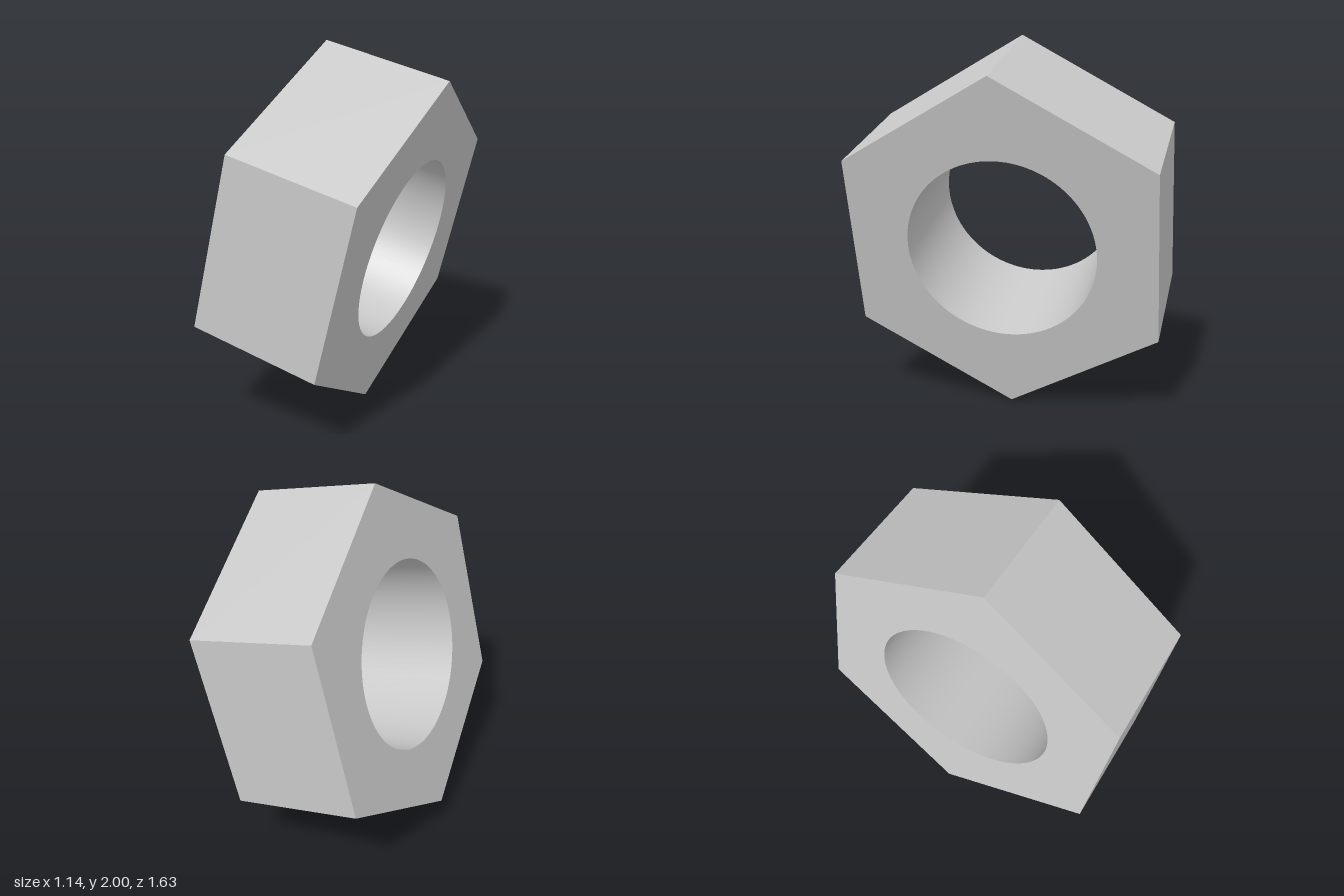
import * as THREE from 'three';
import { toCreasedNormals } from 'three/addons/utils/BufferGeometryUtils.js';

const CORNER_RADIUS = 0.941;
const HOLE_RADIUS = 0.505;
const DEPTH = 0.708;
const TILT = -0.242;

export function createModel() {
  const group = new THREE.Group();
  group.name = 'tiltedHexNut';

  const steel = new THREE.MeshStandardMaterial({ color: 0xc8c8c8 });
  steel.name = 'light grey steel';

  // Hexagon outline with one corner pointing up
  const corners = [];
  for (let i = 0; i < 6; i++) {
    const a = Math.PI / 2 + (i * Math.PI) / 3;
    corners.push(new THREE.Vector2(Math.cos(a) * CORNER_RADIUS, Math.sin(a) * CORNER_RADIUS));
  }
  const outline = new THREE.Shape(corners);

  // Round bore through the middle
  const bore = new THREE.Path();
  bore.absarc(0, 0, HOLE_RADIUS, 0, Math.PI * 2, true);
  outline.holes.push(bore);

  // Extrude, then lay the bore axis along x; creasing keeps the bore smooth and the flats sharp
  const extruded = new THREE.ExtrudeGeometry(outline, { depth: DEPTH, bevelEnabled: false, curveSegments: 48 });
  extruded.translate(0, 0, -DEPTH / 2);
  extruded.rotateY(Math.PI / 2);
  extruded.clearGroups();

  const nut = new THREE.Mesh(toCreasedNormals(extruded, 0.5), steel);
  nut.name = 'nutBody';
  nut.rotation.z = TILT;
  nut.position.y = 1;
  group.add(nut);

  return group;
}
